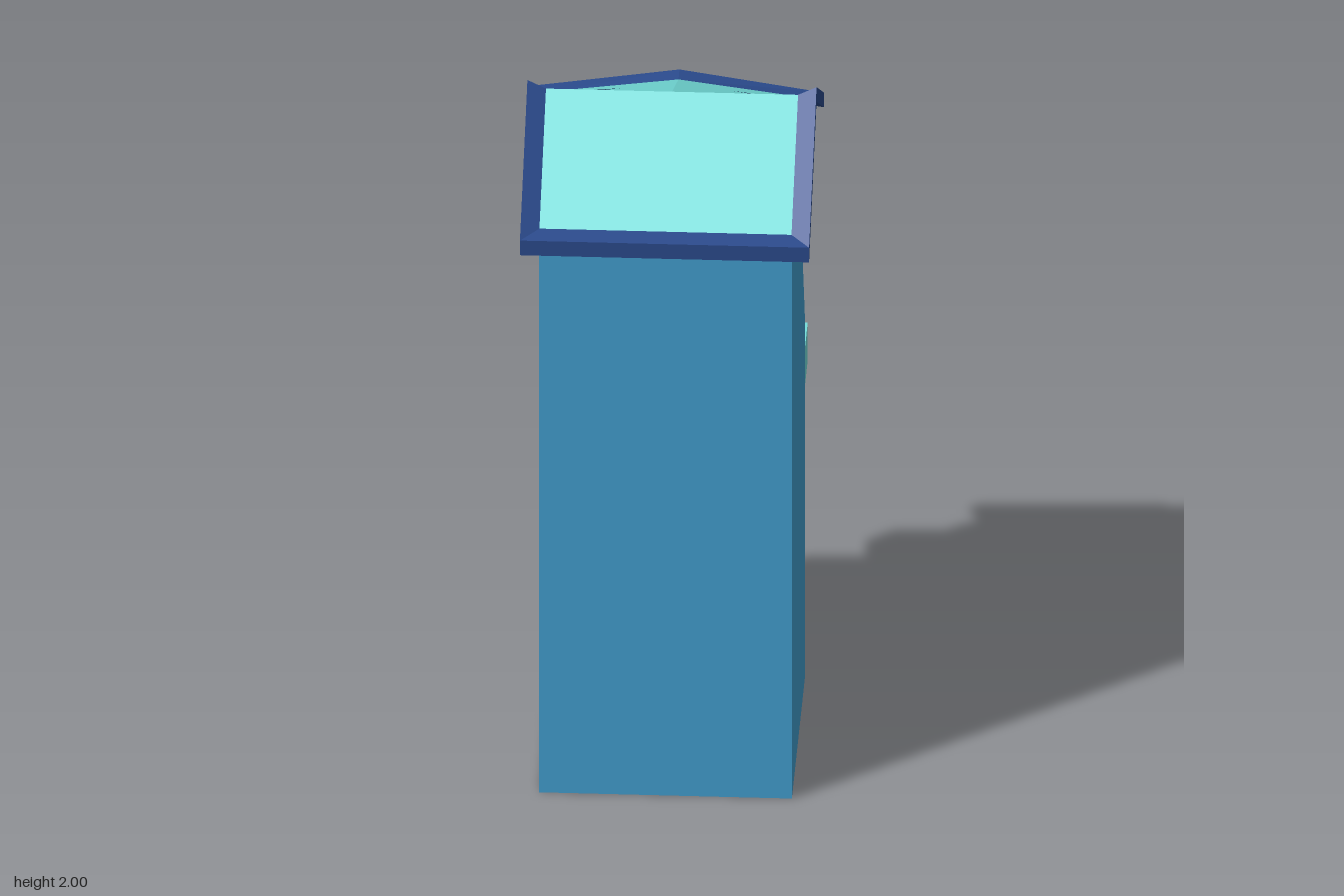
import * as THREE from 'three';

const mat = (name, color) => {
  const m = new THREE.MeshStandardMaterial({ color });
  m.name = name;
  return m;
};

const H = 0.341;   // half width of the tower
const R = 0.39;    // half width of the roof
const DEPTH = 0.08; // depth of the door recesses

// Outer roof surface: the middle of the back eave arches upward
function roofTop(x, z) {
  const u = Math.abs(x) / R, v = Math.abs(z) / R;
  return 2 - (z > 0 ? 0.28 : 0.23 - 0.06 * (1 - u)) * v;
}
const roofUnder = (x, z) => roofTop(x, z) - 0.045;

// Flat-shaded mesh from a list of four-cornered faces
function quadMesh(name, quads, material) {
  const pos = [];
  for (const [a, b, c, d] of quads) pos.push(...a, ...b, ...c, ...a, ...c, ...d);
  const g = new THREE.BufferGeometry();
  g.setAttribute('position', new THREE.Float32BufferAttribute(pos, 3));
  g.computeVertexNormals();
  const m = new THREE.Mesh(g, material);
  m.name = name;
  return m;
}

// Box given by its lower and upper corners
function box(name, [x0, y0, z0], [x1, y1, z1], material) {
  const m = new THREE.Mesh(new THREE.BoxGeometry(x1 - x0, y1 - y0, z1 - z0), material);
  m.position.set((x0 + x1) / 2, (y0 + y1) / 2, (z0 + z1) / 2);
  m.name = name;
  return m;
}

export function createModel() {
  const wall = mat('wall blue', 0x429fd0);
  const teal = mat('roof teal', 0x74dedb);
  const navy = mat('trim navy', 0x2a4a8c);
  const glass = mat('window blue', 0x2f55ab);

  const model = new THREE.Group();
  model.name = 'towerHouse';
  const house = new THREE.Group();
  house.name = 'house';
  house.rotation.y = 0.142;
  house.position.z = 0.0425;
  model.add(house);

  // Openings in the back wall: [x0, y0, x1, y1]
  const doors = [[0.09, 0.92, 0.26, 1.15], [-0.174, 1.25, -0.055, 1.45]];
  const windows = [
    { rect: [0.06, 1.31, 0.273, 1.70], cols: 2, rows: 4 },
    { rect: [-0.273, 1.05, -0.08, 1.20], cols: 2, rows: 2 },
  ];

  // Crooked back corners: height and sideways bulge for each side
  const eave = roofUnder(H, -H) + 0.005;
  const corner = (s) => [
    [0, 0], [1.1, 0], [1.34, s < 0 ? -0.018 : -0.008], [1.56, 0.018], [eave, 0],
  ].map(([y, b]) => [s * (H + b), y]);

  // Back wall with cut-out doors and windows
  const outline = [
    ...corner(1),
    [0, roofUnder(0, -H) + 0.005],
    ...corner(-1).reverse(),
  ].map(([x, y]) => new THREE.Vector2(x, y));
  const shape = new THREE.Shape(outline);
  for (const [x0, y0, x1, y1] of [...doors, ...windows.map((w) => w.rect)]) {
    const hole = new THREE.Path();
    hole.moveTo(x0, y0);
    hole.lineTo(x0, y1);
    hole.lineTo(x1, y1);
    hole.lineTo(x1, y0);
    hole.closePath();
    shape.holes.push(hole);
  }
  const backWall = new THREE.Mesh(
    new THREE.ExtrudeGeometry(shape, { depth: DEPTH, bevelEnabled: false }), wall);
  backWall.name = 'backWall';
  backWall.position.z = -H;
  house.add(backWall);

  // Side walls, front wall and base
  const quads = [];
  const yFront = roofUnder(H, H) + 0.005, yRidge = roofUnder(H, 0) + 0.005;
  for (const s of [1, -1]) {
    const add = (q) => quads.push(s > 0 ? q : q.reverse());
    const c = corner(s);
    const midY = c.map(([, y], i) => (i === c.length - 1 ? yRidge : y));
    for (let i = 0; i < c.length - 1; i++) {
      add([[s * H, midY[i], 0], [...c[i], -H], [...c[i + 1], -H], [s * H, midY[i + 1], 0]]);
    }
    add([[s * H, 0, H], [s * H, 0, 0], [s * H, yRidge, 0], [s * H, yFront, H]]);
  }
  quads.push([[-H, 0, H], [H, 0, H], [H, yFront, H], [-H, yFront, H]]);
  quads.push([[-H, 0, -H], [H, 0, -H], [H, 0, H], [-H, 0, H]]);
  house.add(quadMesh('towerWalls', quads, wall));

  // Door panels at the back of their recesses
  for (const [x0, y0, x1, y1] of doors) {
    house.add(box('door', [x0 - 0.01, y0 - 0.01, -H + DEPTH - 0.002],
      [x1 + 0.01, y1 + 0.01, -H + DEPTH + 0.02], wall));
  }

  // Windows: recessed panes with a grid of bars
  for (const { rect: [x0, y0, x1, y1], cols, rows } of windows) {
    const win = new THREE.Group();
    win.name = 'window';
    win.add(box('pane', [x0, y0, -H + 0.024], [x1, y1, -H + 0.032], glass));
    const t = 0.007;
    for (let i = 0; i <= cols; i++) {
      const x = THREE.MathUtils.lerp(x0 + t, x1 - t, i / cols);
      win.add(box('uprightBar', [x - t, y0, -H - 0.004], [x + t, y1, -H + 0.03], navy));
    }
    for (let j = 0; j <= rows; j++) {
      const y = THREE.MathUtils.lerp(y0 + t, y1 - t, j / rows);
      win.add(box('crossBar', [x0, y - t, -H - 0.002], [x1, y + t, -H + 0.03], navy));
    }
    house.add(win);
  }

  // Balconies: open trays with a short rail against the wall beside the door
  const balcony = (name, x0, x1, y0, y1, z0, railEnd) => {
    const g = new THREE.Group();
    g.name = name;
    const t = 0.022;
    g.add(box('floor', [x0, y0, z0], [x1, y0 + 0.03, -H], teal));
    g.add(box('frontRail', [x0, y0, z0], [x1, y1, z0 + t], teal));
    g.add(box('sideRail', [x0, y0, z0 + t], [x0 + t, y1, -H], teal));
    g.add(box('sideRail', [x1 - t, y0, z0 + t], [x1, y1, -H], teal));
    g.add(box('wallRail', [x0 + t, y0, -H - t], [railEnd, y1, -H], teal));
    house.add(g);
  };
  balcony('lowerBalcony', -H, H, 0.895, 1.01, -0.485, 0.01);
  balcony('upperBalcony', -0.326, -0.009, 1.22, 1.335, -0.469, -0.185);

  // Roof: rings of eight points around the slab, joined by strips and caps
  const dirs = [[1, 1], [1, 0], [1, -1], [0, -1], [-1, -1], [-1, 0], [-1, 1], [0, 1]];
  const ring = (r, drop) => dirs.map(([u, v]) => [u * r, roofTop(u * r, v * r) - drop, v * r]);
  const strip = (a, b) => a.map((p, i) => {
    const n = (i + 1) % 8;
    return [p, a[n], b[n], b[i]];
  });
  const cap = (a, drop) => [0, 2, 4, 6].map((i) =>
    [a[i], a[i + 1], [0, 2 - drop, 0], a[(i + 7) % 8]]);
  const outer = ring(R, 0), inner = ring(0.34, 0.025), under = ring(R, 0.045);
  house.add(quadMesh('roofPanels', cap(inner, 0.025), teal));
  house.add(quadMesh('roofTrim', [
    ...strip(outer, inner),
    ...strip(under, outer),
    ...cap(under, 0.045).map((q) => q.reverse()),
  ], navy));

  return model;
}
